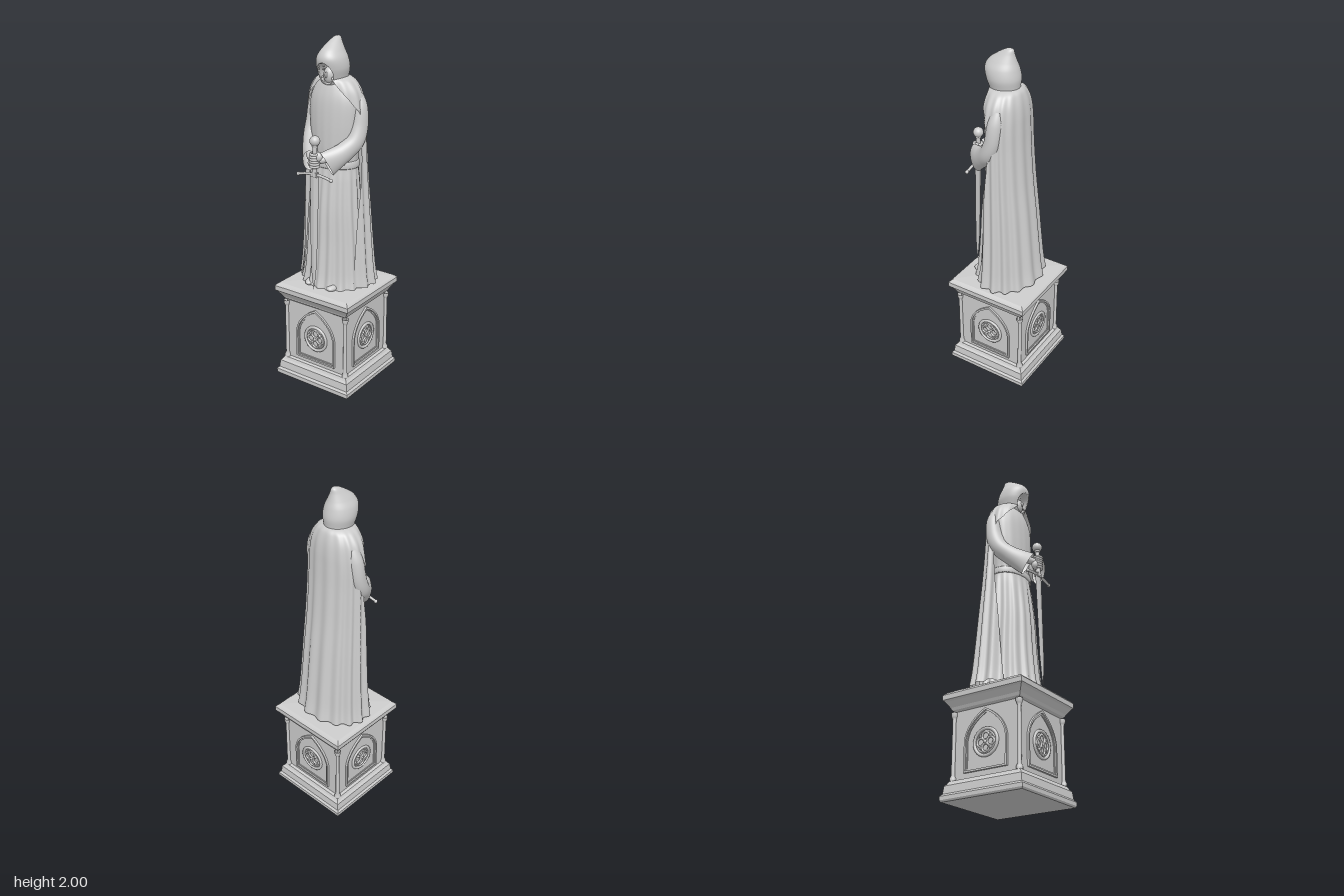
import * as THREE from 'three';
import { ParametricGeometry } from 'three/addons/geometries/ParametricGeometry.js';

const stone = new THREE.MeshStandardMaterial({ color: 0xcccccc, side: THREE.DoubleSide });
stone.name = 'pale stone';

function add(parent, name, geometry, x = 0, y = 0, z = 0) {
  const mesh = new THREE.Mesh(geometry, stone);
  mesh.name = name;
  mesh.position.set(x, y, z);
  parent.add(mesh);
  return mesh;
}

function addGroup(parent, name) {
  const g = new THREE.Group();
  g.name = name;
  parent.add(g);
  return g;
}

// Smooth interpolation through rows of numbers, t from 0 to 1
function sample(rows, t) {
  const f = THREE.MathUtils.clamp(t, 0, 1) * (rows.length - 1);
  const i = Math.min(Math.floor(f), rows.length - 2), s = f - i;
  const a = rows[Math.max(i - 1, 0)], b = rows[i], c = rows[i + 1], d = rows[Math.min(i + 2, rows.length - 1)];
  return b.map((p, k) => p + 0.5 * s * (c[k] - a[k] + s * (2 * a[k] - 5 * p + 4 * c[k] - d[k]
    + s * (3 * (p - c[k]) + d[k] - a[k]))));
}

// Rows are [y, half width, front z, back depth, fold size, half sweep in degrees measured from the back]
function drape(rows, lobes, cols, stacks, tweak) {
  return new ParametricGeometry((u, v, target) => {
    const [y, rx, front, back, fold = 0, sweep = 180] = sample(rows, v);
    const a = Math.PI + (2 * u - 1) * sweep * Math.PI / 180;
    const r = 1 + fold * Math.cos(lobes * a + 0.7 * Math.sin(3 * a));
    target.set(rx * r * Math.sin(a), y, (front - back) / 2 + (front + back) / 2 * r * Math.cos(a));
    if (tweak) tweak(target);
  }, cols, stacks);
}

// Faceted turned shape; four sides make square mouldings and blades
function turned(points, sides) {
  const g = new THREE.LatheGeometry(points.map(p => new THREE.Vector2(p[0], p[1])), sides).toNonIndexed();
  g.computeVertexNormals();
  return g;
}

function archPath(Type, w, base, spring, apex) {
  const p = new Type();
  p.moveTo(-w, base);
  p.lineTo(w, base);
  p.lineTo(w, spring);
  p.quadraticCurveTo(w * 0.9, spring + (apex - spring) * 0.6, 0, apex);
  p.quadraticCurveTo(-w * 0.9, spring + (apex - spring) * 0.6, -w, spring);
  p.lineTo(-w, base);
  return p;
}

function archFrame(w, base, apex, thick, depth) {
  const s = archPath(THREE.Shape, w, base, 0.31, apex);
  s.holes.push(archPath(THREE.Path, w - thick, base + thick, 0.31, apex - thick * 1.3));
  return new THREE.ExtrudeGeometry(s, { depth, bevelEnabled: false, curveSegments: 12 });
}

function buildPedestal(parent) {
  const pedestal = addGroup(parent, 'pedestal');
  const k = Math.SQRT2;
  const profile = [[0, 0], [0.25, 0], [0.256, 0.01], [0.256, 0.03], [0.245, 0.042], [0.24, 0.085], [0.23, 0.095],
    [0.222, 0.11], [0.205, 0.115], [0.205, 0.485], [0.218, 0.495], [0.225, 0.51], [0.245, 0.54], [0.256, 0.55],
    [0.256, 0.578], [0.247, 0.588], [0.235, 0.597], [0, 0.61]];
  add(pedestal, 'squareBlock', turned(profile.map(([r, y]) => [r * k, y]), 4)).rotation.y = Math.PI / 4;

  for (let i = 0; i < 4; i++) {
    const side = addGroup(pedestal, 'pedestalSide');
    side.rotation.y = i * Math.PI / 2;
    // Corner colonnette with base and capital
    add(side, 'cornerColumn', new THREE.LatheGeometry([[0.018, 0.11], [0.018, 0.125], [0.011, 0.14], [0.01, 0.445],
      [0.014, 0.455], [0.018, 0.465], [0.018, 0.482]].map(p => new THREE.Vector2(...p)), 14), 0.208, 0, 0.208);
    // Pointed arch mouldings
    add(side, 'archMoulding', archFrame(0.135, 0.142, 0.472, 0.01, 0.014), 0, 0, 0.203);
    add(side, 'innerArchMoulding', archFrame(0.123, 0.154, 0.456, 0.007, 0.007), 0, 0, 0.203);
    // Round tracery
    const rose = addGroup(side, 'roseTracery');
    rose.position.set(0, 0.288, 0.207);
    add(rose, 'outerRing', new THREE.TorusGeometry(0.072, 0.009, 8, 40));
    add(rose, 'innerRing', new THREE.TorusGeometry(0.057, 0.005, 8, 36));
    for (let j = 0; j < 4; j++) {
      const a = j * Math.PI / 2;
      add(rose, 'petalRing', new THREE.TorusGeometry(0.022, 0.006, 8, 20), 0.031 * Math.cos(a), 0.031 * Math.sin(a), 0.003);
      const b = a + Math.PI / 4;
      add(rose, 'spandrelKnob', new THREE.SphereGeometry(0.009, 10, 8), 0.044 * Math.cos(b), 0.044 * Math.sin(b), 0.002);
    }
    add(rose, 'centreKnob', new THREE.SphereGeometry(0.011, 12, 8), 0, 0, 0.004);
  }
}

function buildClothes(parent) {
  const clothes = addGroup(parent, 'clothes');
  add(clothes, 'gown', drape([
    [0.605, 0.195, 0.18, 0.15, 0.05], [0.68, 0.183, 0.165, 0.14, 0.045], [0.85, 0.17, 0.15, 0.125, 0.04],
    [1.05, 0.155, 0.14, 0.11, 0.035], [1.22, 0.142, 0.122, 0.1, 0.025], [1.32, 0.133, 0.11, 0.095, 0.008],
    [1.42, 0.142, 0.115, 0.095, 0.006], [1.55, 0.152, 0.115, 0.095, 0.004], [1.66, 0.15, 0.108, 0.09, 0.003],
    [1.73, 0.122, 0.092, 0.075, 0.002], [1.78, 0.07, 0.07, 0.05, 0], [1.8, 0.03, 0.04, 0.03, 0]], 17, 160, 60));
  add(clothes, 'belt', drape([[1.298, 0.136, 0.112, 0.095], [1.303, 0.142, 0.119, 0.098], [1.333, 0.141, 0.118, 0.098],
    [1.338, 0.134, 0.111, 0.095]], 1, 64, 6));
  // Open cloak: its front edges part from the neck and fall behind the arms
  add(clothes, 'cloak', drape([
    [0.615, 0.234, 0.165, 0.196, 0.05, 128], [0.7, 0.222, 0.155, 0.182, 0.05, 125], [0.85, 0.211, 0.145, 0.167, 0.046, 120],
    [1.05, 0.2, 0.135, 0.148, 0.042, 114], [1.25, 0.19, 0.125, 0.127, 0.036, 106], [1.45, 0.182, 0.12, 0.113, 0.03, 98],
    [1.58, 0.178, 0.118, 0.108, 0.026, 98], [1.66, 0.168, 0.116, 0.105, 0.022, 120], [1.72, 0.152, 0.112, 0.098, 0.018, 140],
    [1.765, 0.122, 0.104, 0.086, 0.012, 154], [1.785, 0.095, 0.095, 0.073, 0.006, 160],
    [1.795, 0.065, 0.08, 0.055, 0, 162]], 15, 150, 60));
  // Pointed hood with a hollowed face opening
  add(clothes, 'hood', drape([
    [1.75, 0.07, 0.085, 0.06], [1.79, 0.076, 0.108, 0.061], [1.84, 0.086, 0.126, 0.066], [1.89, 0.079, 0.134, 0.057],
    [1.93, 0.058, 0.113, 0.044], [1.965, 0.036, 0.066, 0.034], [1.988, 0.021, 0.028, 0.03], [1.997, 0.011, 0.008, 0.023],
    [2.0, 0.001, -0.007, 0.009]], 1, 120, 90, p => {
    if (p.z < 0) return;
    const d = (p.x / 0.047) ** 2 + ((p.y - 1.812) / 0.06) ** 2;
    p.z -= 0.06 * THREE.MathUtils.smoothstep(1 - d, 0, 0.3);
  }));
  add(clothes, 'face', new THREE.SphereGeometry(1, 24, 16), 0, 1.8, 0.06).scale.set(0.034, 0.048, 0.036);
  add(clothes, 'nose', new THREE.SphereGeometry(1, 12, 8), 0, 1.805, 0.095).scale.set(0.007, 0.016, 0.01);
}

function buildArms(parent) {
  // Each row: centre x, y, z, sideways radius, upright radius
  const rows = [[0.125, 1.7, -0.015, 0.03, 0.03], [0.145, 1.63, -0.01, 0.042, 0.042], [0.152, 1.53, 0.005, 0.043, 0.048],
    [0.145, 1.455, 0.035, 0.045, 0.05], [0.115, 1.405, 0.085, 0.044, 0.054], [0.082, 1.37, 0.135, 0.042, 0.064],
    [0.057, 1.345, 0.172, 0.036, 0.074]];
  const point = v => new THREE.Vector3(...sample(rows, v));
  const sleeve = new ParametricGeometry((u, v, target) => {
    const [x, y, z, rn, rb] = sample(rows, v);
    const along = point(v + 0.01).sub(point(v - 0.01)).normalize();
    const n = new THREE.Vector3(0.8, 0, 0.6);
    n.addScaledVector(along, -n.dot(along)).normalize();
    const b = new THREE.Vector3().crossVectors(along, n);
    const a = u * Math.PI * 2;
    target.set(x, y, z).addScaledVector(n, rn * Math.cos(a)).addScaledVector(b, rb * Math.sin(a));
  }, 36, 48);

  for (const s of [1, -1]) {
    const arm = addGroup(parent, s > 0 ? 'leftArm' : 'rightArm');
    arm.scale.x = s;
    add(arm, 'sleeve', sleeve);
    const wrist = new THREE.CatmullRomCurve3([[0.1, 1.39, 0.11], [0.06, 1.375, 0.165], [0.025, 1.365, 0.192]]
      .map(p => new THREE.Vector3(...p)));
    add(arm, 'wrist', new THREE.TubeGeometry(wrist, 12, 0.02, 12));
    const lift = s > 0 ? 0.02 : -0.02;
    const palm = add(arm, 'palm', new THREE.SphereGeometry(1, 18, 12), 0.022, 1.365 + lift, 0.197);
    palm.scale.set(0.024, 0.027, 0.02);
    // Fingers wrapped about the grip
    for (let i = 0; i < 3; i++) {
      const finger = add(arm, 'finger', new THREE.TorusGeometry(0.022, 0.008, 8, 20), 0, 1.351 + lift + i * 0.014, 0.202);
      finger.rotation.x = Math.PI / 2;
    }
    // Shoe tip under the hem
    add(arm, 'shoe', new THREE.SphereGeometry(1, 16, 10), 0.075, 0.615, 0.14).scale.set(0.03, 0.02, 0.05);
  }
}

function buildSword(parent) {
  const sword = addGroup(parent, 'sword');
  sword.position.set(0, 1.28, 0.203);
  sword.rotation.x = -0.028;
  add(sword, 'blade', turned([[0.001, -0.668], [0.012, -0.6], [0.021, -0.5], [0.03, 0]], 4)).scale.z = 0.25;
  add(sword, 'grip', new THREE.CylinderGeometry(0.012, 0.014, 0.17, 14), 0, 0.085);
  add(sword, 'pommel', new THREE.SphereGeometry(0.029, 20, 14), 0, 0.19);
  add(sword, 'pommelCollar', new THREE.CylinderGeometry(0.018, 0.015, 0.014, 16), 0, 0.162);
  const bar = new THREE.CatmullRomCurve3([-0.11, -0.055, 0, 0.055, 0.11]
    .map(x => new THREE.Vector3(x, 0.006 - x * x * 1.3, 0)));
  add(sword, 'crossguard', new THREE.TubeGeometry(bar, 24, 0.008, 8));
  add(sword, 'guardBlock', new THREE.BoxGeometry(0.04, 0.025, 0.024), 0, 0.005);
  for (const s of [1, -1]) add(sword, 'guardTip', new THREE.SphereGeometry(0.011, 10, 8), s * 0.11, -0.01);
}

export function createModel() {
  const model = new THREE.Group();
  model.name = 'hoodedSwordStatue';
  buildPedestal(model);
  const figure = addGroup(model, 'figure');
  buildClothes(figure);
  buildArms(figure);
  buildSword(figure);
  return model;
}
